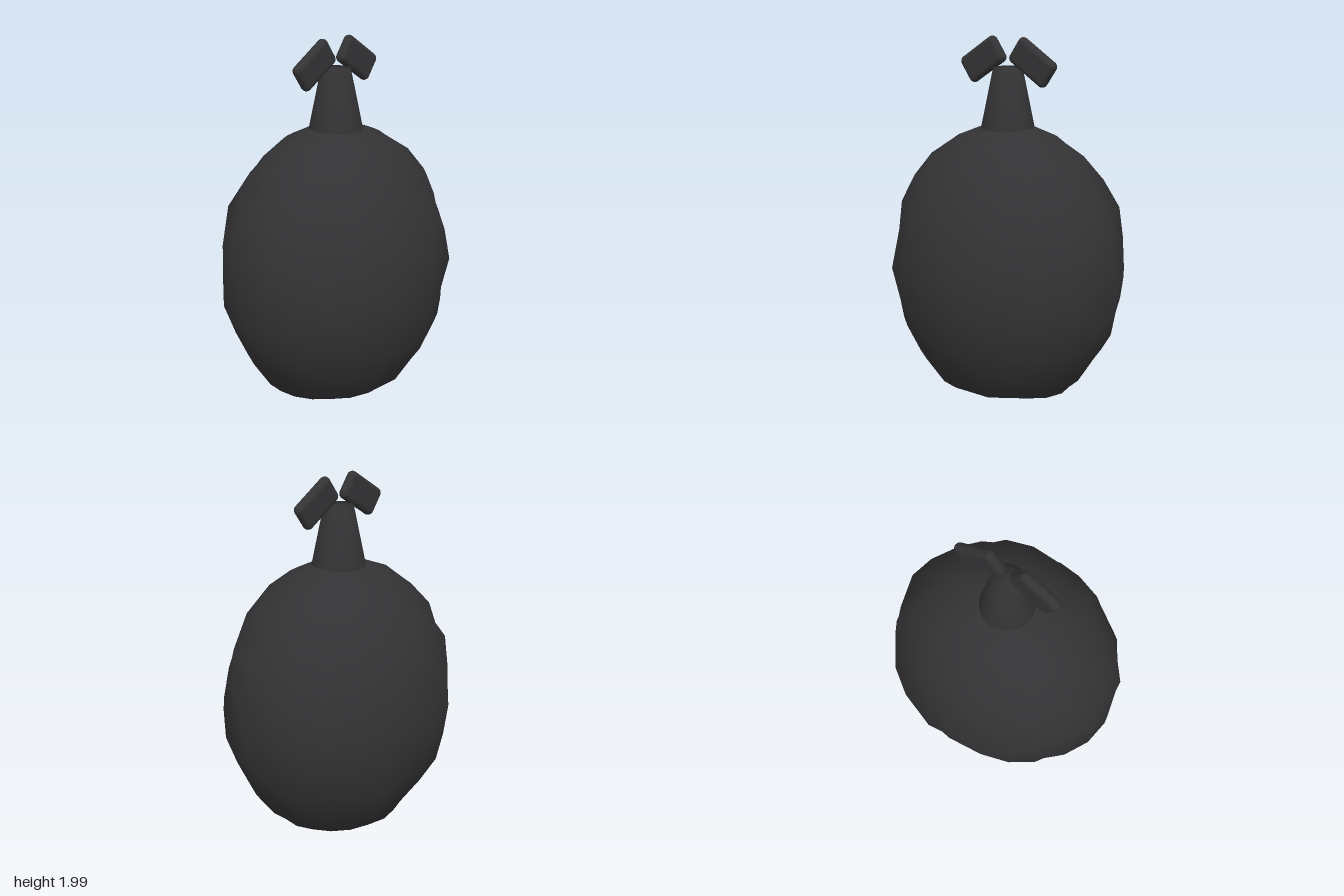
import * as THREE from 'three';
import { RoundedBoxGeometry } from 'three/addons/geometries/RoundedBoxGeometry.js';

const material = new THREE.MeshStandardMaterial({ color: 0x333335 });

function seeded(seed) {
  return () => {
    seed = (seed * 16807) % 2147483647;
    return seed / 2147483647;
  };
}

// Ellipsoid with a shallow flattened base and slightly uneven surface.
function bodyGeometry() {
  const columns = 24, rows = 14, centreY = 0.72, height = 0.81;
  const geometry = new THREE.SphereGeometry(1, columns, rows);
  const position = geometry.attributes.position;
  const normal = geometry.attributes.normal;
  const random = seeded(4217);
  const v = new THREE.Vector3();
  const n = new THREE.Vector3();
  for (let row = 0; row <= rows; row++) {
    const bumps = Array.from({ length: columns }, () => 1 + (random() - 0.5) * 0.075);
    for (let column = 0; column <= columns; column++) {
      const i = row * (columns + 1) + column;
      v.fromBufferAttribute(position, i);
      n.set(v.x / 0.69, v.y / height, v.z / 0.595).normalize();
      const bump = bumps[column % columns];
      const radius = Math.hypot(v.x, v.z);
      let y = centreY + v.y * height;
      if (row >= 11) {
        y = 0.01 + 0.05 * (radius / 0.623) ** 2;
        n.lerp(new THREE.Vector3(0, -1, 0), row === 11 ? 0.4 : 0.85).normalize();
      }
      position.setXYZ(i, v.x * 0.69 * bump, y, v.z * 0.595 * bump);
      normal.setXYZ(i, n.x, n.y, n.z);
    }
  }
  return geometry;
}

function add(group, name, geometry) {
  const mesh = new THREE.Mesh(geometry, material);
  mesh.name = name;
  group.add(mesh);
  return mesh;
}

export function createModel() {
  const model = new THREE.Group();
  model.name = 'roundCanister';
  add(model, 'body', bodyGeometry());

  // Tapered neck with a flat, softly shaded top
  const profile = [[0.148, 1.44], [0.148, 1.505], [0.08, 1.835], [0, 1.835]]
    .map(([r, y]) => new THREE.Vector2(r, y));
  add(model, 'neck', new THREE.LatheGeometry(profile, 32));

  // Pair of drooping rounded tabs
  for (const side of [-1, 1]) {
    const tab = add(model, side > 0 ? 'leftTab' : 'rightTab',
      new RoundedBoxGeometry(0.27, 0.16, 0.06, 5, 0.03));
    tab.position.set(side * 0.16, 1.87, 0);
    tab.rotation.z = -side * 0.59;
  }
  return model;
}
